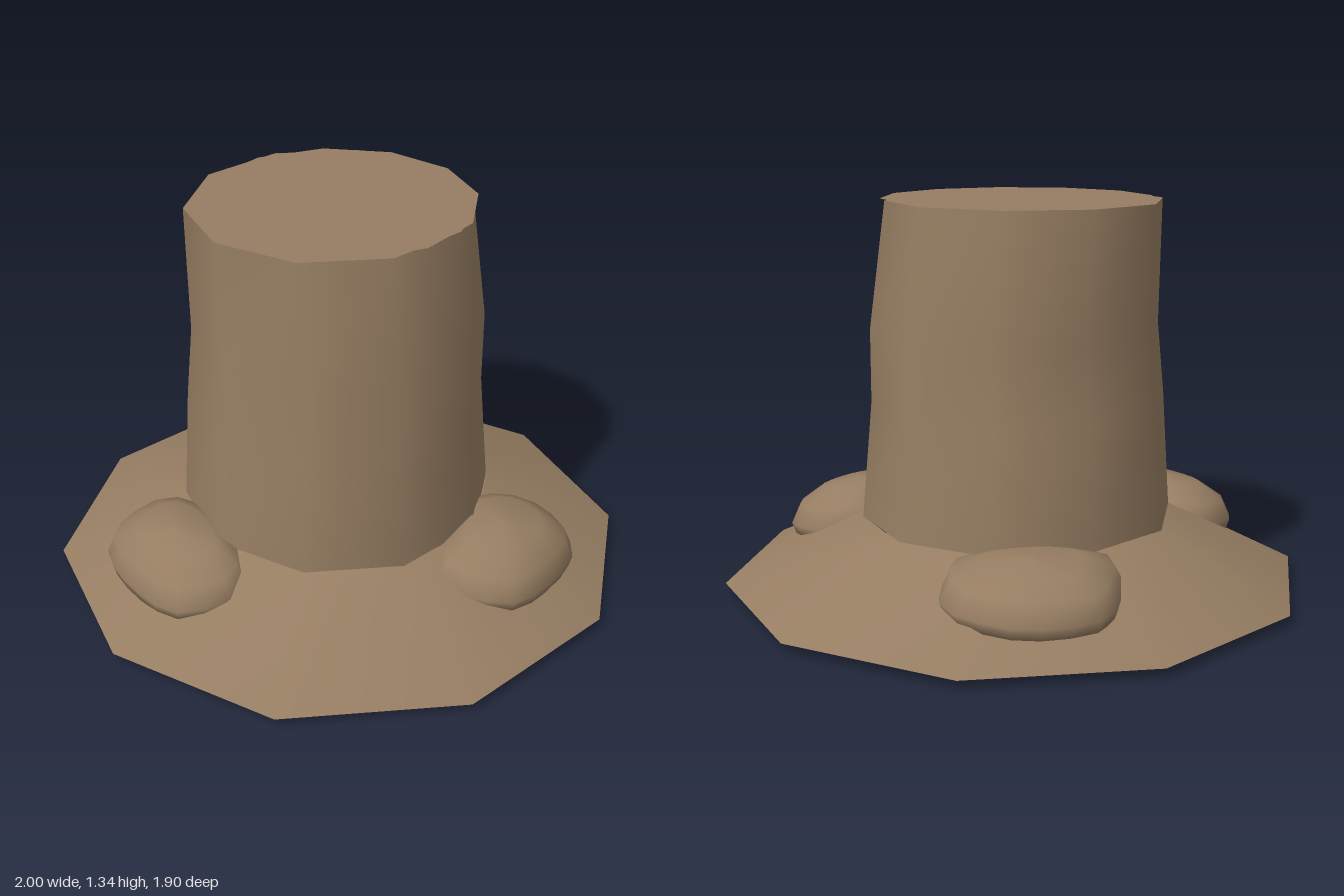
import * as THREE from 'three';

const wood = new THREE.MeshStandardMaterial({ color: 0x967d62, side: THREE.DoubleSide });

// Smooth skin through rings of points listed from bottom to top
function loft(name, rings) {
  const n = rings[0].length;
  const pos = rings.flat().flatMap((p) => [p.x, p.y, p.z]);
  const index = [];
  for (let r = 0; r < rings.length - 1; r++) {
    for (let i = 0; i < n; i++) {
      const a = r * n + i, b = r * n + (i + 1) % n;
      index.push(a, a + n, b, b, a + n, b + n);
    }
  }
  const geo = new THREE.BufferGeometry();
  geo.setAttribute('position', new THREE.Float32BufferAttribute(pos, 3));
  geo.setIndex(index);
  geo.computeVertexNormals();
  const mesh = new THREE.Mesh(geo, wood);
  mesh.name = name;
  return mesh;
}

// Regular polygon ring with a corner on the x axis
function ring(y, radius, cx = 0, cz = 0, sides = 10) {
  return Array.from({ length: sides }, (_, i) => {
    const a = (i / sides) * Math.PI * 2;
    return new THREE.Vector3(cx + radius * Math.cos(a), y, cz + radius * Math.sin(a));
  });
}

// Flat horizontal polygon
function disc(name, y, radius, sides, cx, cz, up) {
  const geo = new THREE.CircleGeometry(radius, sides).rotateX(up ? -Math.PI / 2 : Math.PI / 2);
  const mesh = new THREE.Mesh(geo, wood);
  mesh.position.set(cx, y, cz);
  mesh.name = name;
  return mesh;
}

// Lumpy root: a plan outline swelled into a low mound, sloping down outwards
function root(name, outline, bottom, top) {
  const n = 18;
  const curve = new THREE.CatmullRomCurve3(
    outline.map(([x, z]) => new THREE.Vector3(x, 0, z)), true);
  const rim = curve.getSpacedPoints(n).slice(0, n);
  const c = rim.reduce((s, p) => s.add(p), new THREE.Vector3()).divideScalar(n);
  const levels = [
    [0.01, bottom], [0.7, 0.1], [0.95, 0.13], [1, 0.17],
    [0.88, 0.235], [0.55, top - 0.015], [0.01, top],
  ];
  return loft(name, levels.map(([scale, y]) => rim.map((p) => {
    const q = c.clone().lerp(p, scale);
    const tilt = (Math.hypot(c.x, c.z) - Math.hypot(q.x, q.z)) * 0.12;
    q.y = y + tilt;
    return q;
  })));
}

export function createModel() {
  const model = new THREE.Group();
  model.name = 'treeStump';

  // Flared foot
  model.add(loft('foot', [ring(0.03, 1), ring(0.25, 0.54, -0.01)]));
  model.add(disc('footUnderside', 0.03, 1, 10, 0, 0, false));

  // Slightly crooked trunk
  model.add(loft('trunk', [
    ring(0.25, 0.538, -0.012),
    ring(0.65, 0.507, -0.017),
    ring(0.9, 0.495, -0.005),
    ring(1.328, 0.47, -0.035, -0.01),
  ]));
  model.add(disc('trunkTop', 1.327, 0.47, 10, -0.035, -0.01, true));

  // Cut face
  model.add(disc('cutFace', 1.335, 0.46, 12, -0.01, -0.007, true));

  // Roots around the foot
  model.add(root('rightRoot', [
    [-0.46, 0.1], [-0.59, -0.02], [-0.67, -0.02], [-0.82, 0.12], [-0.81, 0.26],
    [-0.69, 0.47], [-0.6, 0.55], [-0.42, 0.53], [-0.36, 0.45], [-0.38, 0.28],
  ].reverse(), 0.0, 0.295));
  model.add(root('leftRoot', [
    [0.44, 0.12], [0.59, 0.09], [0.7, 0.15], [0.77, 0.29], [0.76, 0.38],
    [0.63, 0.54], [0.51, 0.62], [0.41, 0.61], [0.27, 0.53], [0.27, 0.42],
  ], 0.02, 0.3));
  model.add(root('backRoot', [
    [0.29, -0.47], [0.05, -0.42], [-0.2, -0.46], [-0.27, -0.53], [-0.24, -0.66],
    [-0.17, -0.82], [-0.03, -0.875], [0.14, -0.86], [0.32, -0.7], [0.32, -0.58],
  ], 0.06, 0.28));

  return model;
}
